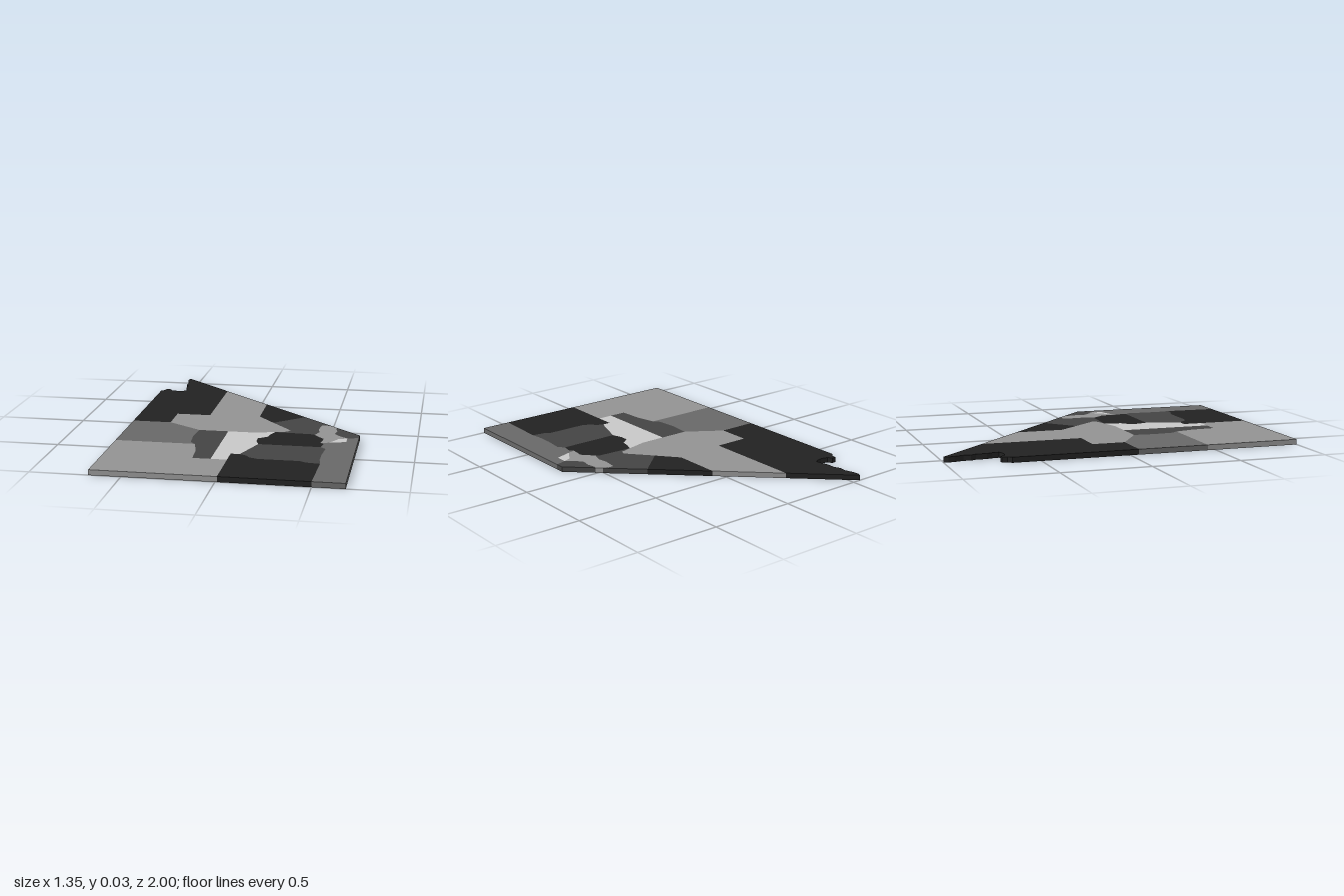
import * as THREE from 'three';

const THICKNESS = 0.03;

const material = (name, color) => {
  const m = new THREE.MeshStandardMaterial({ color });
  m.name = name;
  return m;
};

// Borders shared by neighbouring pieces, as [x, z] points
const seam = {
  tornEdge: [[-.675, -.66], [-.655, -.68], [-.65, -.71], [-.625, -.71], [-.61, -.685], [-.57, -.675], [-.54, -.68], [-.515, -.69],
    [-.52, -.73], [-.53, -.76], [-.53, -.82], [-.545, -.85], [-.54, -.89], [-.555, -.94], [-.56, -.975], [-.55, -1]],
  step: [[-.25, -.72], [-.25, -.14], [-.45, -.14], [-.45, .05]],
  shoulder: [[-.45, .05], [-.25, .18]],
  waist: [[-.08, .18], [.07, .18], [.19, .15]],
  nose: [[.19, .15], [.26, .13], [.27, .10], [.15, -.04]],
  notch: [[.15, -.04], [.05, -.16], [.05, -.44]],
  leftCurve: [[-.25, .18], [-.26, .30], [-.25, .42], [-.22, .455]],
  leftTail: [[-.22, .455], [-.19, .57], [-.18, .71], [-.08, .71]],
  fragmentLeft: [[.505, -.02], [.48, -.03], [.44, -.03], [.43, .05], [.44, .11], [.42, .17]],
  fragmentRight: [[.535, .01], [.53, .03], [.54, .08], [.53, .13], [.56, .17], [.61, .21]],
  fragmentFoot: [[.42, .17], [.45, .21], [.48, .24], [.47, .32]],
  chip: [[.61, .21], [.56, .23], [.54, .27], [.51, .31]],
  chipRight: [[.61, .21], [.61, .28], [.51, .31]],
  coreTop: [[.42, .17], [.40, .16], [.19, .15]],
  coreLeft: [[.19, .15], [.17, .20], [.16, .25], [.11, .29], [.11, .34], [.13, .40]],
  coreRight: [[.47, .32], [.49, .34], [.48, .40]],
  lowerTop: [[.06, .60], [.10, .62], [.12, .65], [.17, .67], [.40, .67], [.43, .69], [.51, .70]],
  rightCoast: [[.48, .40], [.51, .43], [.50, .54], [.50, .63], [.51, .70]],
};
const back = (s) => [...s].reverse();

// Extrude a closed chain of borders into a flat slab
function slab(name, mat, ...chain) {
  const pts = chain.flat().filter((p, i, a) => {
    const q = a[(i + 1) % a.length];
    return p[0] !== q[0] || p[1] !== q[1];
  });
  const shape = new THREE.Shape(pts.map(([x, z]) => new THREE.Vector2(x, -z)));
  const geo = new THREE.ExtrudeGeometry(shape, { depth: THICKNESS, bevelEnabled: false });
  geo.rotateX(-Math.PI / 2);
  const mesh = new THREE.Mesh(geo, mat);
  mesh.name = name;
  return mesh;
}

export function createModel() {
  const black = material('black', 0x222222);
  const dark = material('dark grey', 0x444444);
  const mid = material('mid grey', 0x686868);
  const pale = material('pale grey', 0x939393);
  const light = material('light grey', 0xc8c8c8);
  const s = seam;

  const model = new THREE.Group();
  model.name = 'patchworkPlate';
  model.add(
    // Back half
    slab('backLeftPiece', black, s.tornEdge, s.step, [[-.675, .05]]),
    slab('backMiddlePiece', pale, s.step, s.shoulder, s.waist, s.nose, s.notch),
    slab('backWedge', black, s.notch, [[.32, -.19]]),
    slab('slopePiece', dark, [[.32, -.19]], s.fragmentLeft, s.coreTop, s.nose),
    slab('cornerPiece', dark, s.fragmentRight, [[.675, .19], [.675, .14]]),
    slab('fragment', pale, s.fragmentLeft, s.fragmentFoot, back(s.chip), back(s.fragmentRight)),
    slab('chip', light, s.chip, back(s.chipRight)),

    // Centre
    slab('corePiece', black, back(s.coreTop), s.fragmentFoot, s.coreRight, back(s.coreLeft)),
    slab('brightPiece', light, s.waist, s.coreLeft, [[.06, .60], [.01, .60], [.01, .71], [-.08, .71]]),
    slab('centreLeftPiece', dark, s.leftCurve, s.leftTail, [[-.08, .18]]),
    slab('centreRightPiece', dark, [[.13, .40]], s.rightCoast, back(s.lowerTop)),

    // Front and sides
    slab('sidePiece', mid, s.shoulder, s.leftCurve, [[-.675, .455], [-.675, .05]]),
    slab('frontLeftPiece', pale, [[-.675, .455]], s.leftTail, [[.01, .71], [.01, 1], [-.675, 1]]),
    slab('frontMiddlePiece', black, [[.01, .60]], s.lowerTop, [[.50, 1], [.01, 1]]),
    slab('rightEdgePiece', mid, s.chipRight, s.coreRight, s.rightCoast, [[.50, 1], [.675, 1], [.675, .19]]),
  );
  return model;
}
